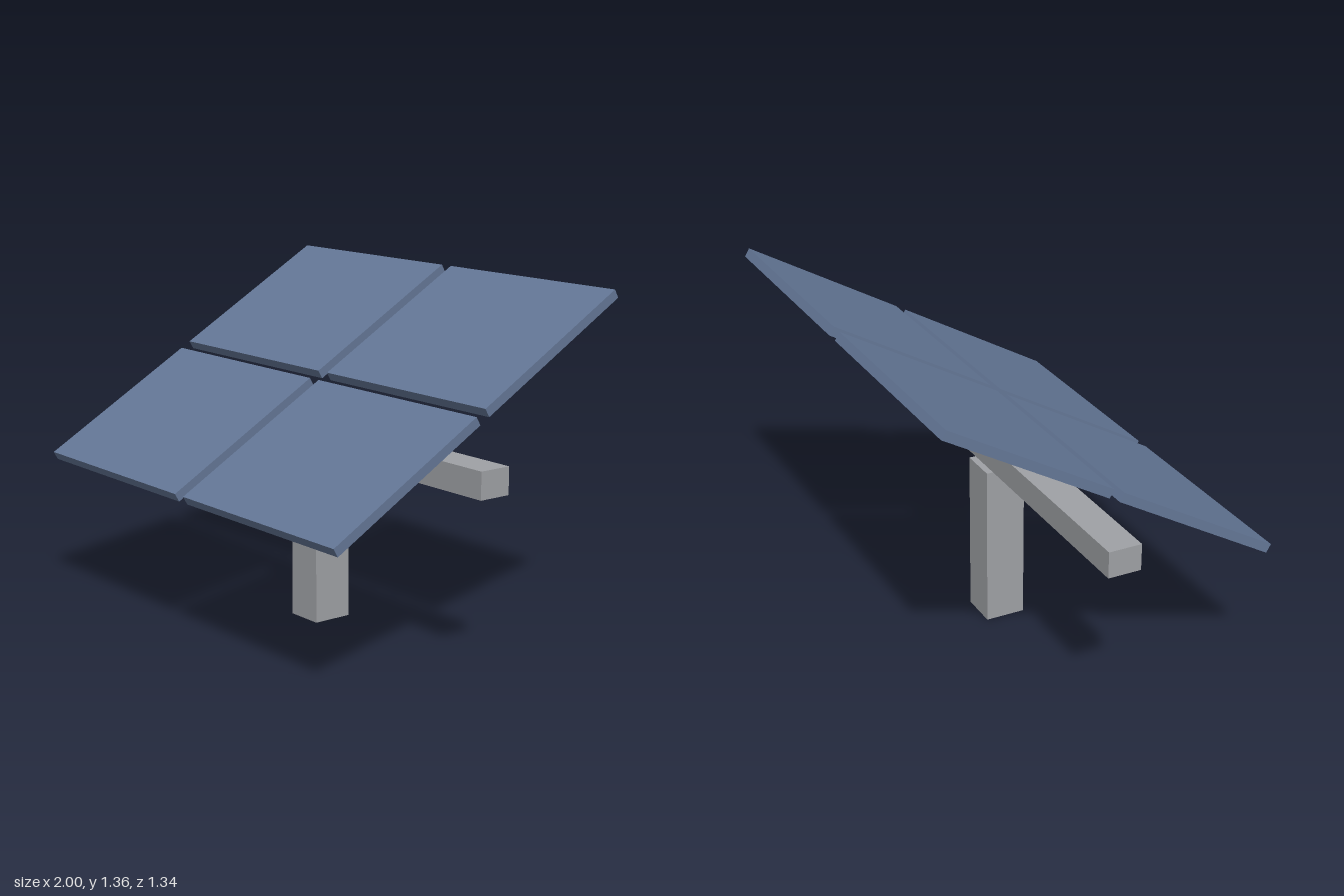
import * as THREE from 'three';

const steel = new THREE.MeshStandardMaterial({ name: 'grey steel', color: 0x9fa1a5 });
const cell = new THREE.MeshStandardMaterial({ name: 'slate blue panel', color: 0x647797 });

function box(name, size, y, material) {
  const mesh = new THREE.Mesh(new THREE.BoxGeometry(...size), material);
  mesh.name = name;
  mesh.position.y = y;
  return mesh;
}

export function createModel() {
  const model = new THREE.Group();
  model.name = 'solarPanelArray';

  // Upright post and the cross beam just above it
  model.add(box('post', [0.156, 0.669, 0.163], 0.3345, steel));
  model.add(box('crossBeam', [2, 0.105, 0.133], 0.735, steel));

  // Two by two panels on one plane, sloping down towards the front
  const array = new THREE.Group();
  array.name = 'panelArray';
  array.position.y = 0.962;
  array.rotation.x = Math.PI / 6;
  for (const [side, x] of [['left', 0.479], ['right', -0.479]]) {
    for (const [row, z] of [['Lower', 0.3935], ['Upper', -0.3935]]) {
      const panel = box(`${side}${row}Panel`, [0.904, 0.037, 0.739], 0, cell);
      panel.position.set(x, 0, z);
      array.add(panel);
    }
  }
  model.add(array);

  return model;
}
